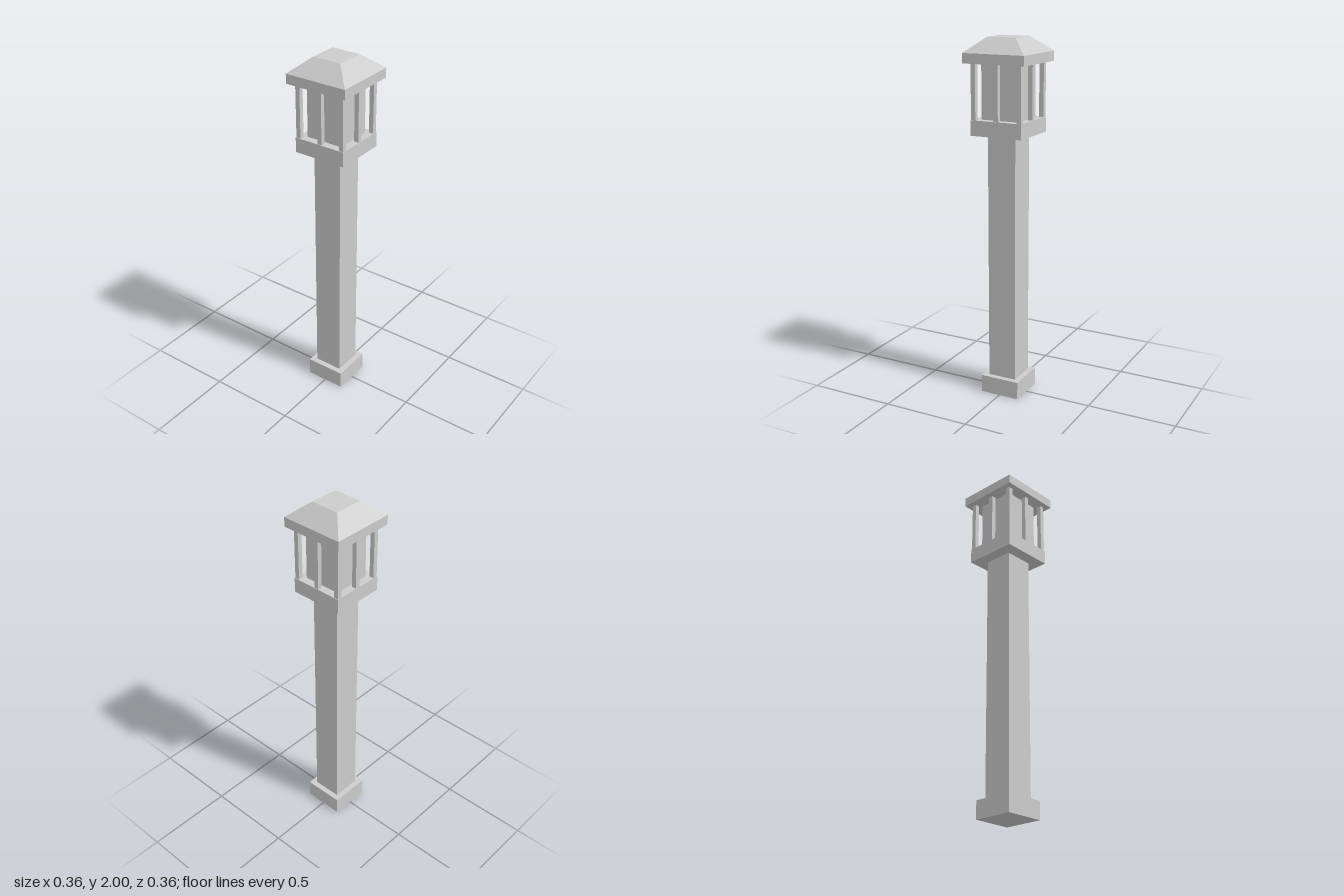
import * as THREE from 'three';

export function createModel() {
  const model = new THREE.Group();
  model.name = 'lampPost';
  const material = new THREE.MeshStandardMaterial({ color: 0xcccccc, flatShading: true });

  // Square block given its width and its bottom and top heights
  function block(name, width, y0, y1, x = 0, z = 0, parent = model) {
    const mesh = new THREE.Mesh(new THREE.BoxGeometry(width, y1 - y0, width), material);
    mesh.position.set(x, (y0 + y1) / 2, z);
    mesh.name = name;
    parent.add(mesh);
  }

  block('base', 0.228, 0, 0.1);
  block('post', 0.164, 0.1, 1.487);
  block('lanternTray', 0.3, 1.487, 1.57);
  block('lampCore', 0.212, 1.57, 1.867);

  // Eight bars around the lamp: corners and middles of each side
  const bars = new THREE.Group();
  bars.name = 'lanternBars';
  model.add(bars);
  for (const i of [-1, 0, 1]) {
    for (const j of [-1, 0, 1]) {
      if (i || j) block('lanternBar', 0.026, 1.57, 1.867, i * 0.134, j * 0.134, bars);
    }
  }

  // Roof: straight eave with a truncated pyramid on top
  block('roofEave', 0.358, 1.867, 1.92);
  const slope = new THREE.CylinderGeometry(0.082 * Math.SQRT2, 0.179 * Math.SQRT2, 0.08, 4);
  slope.rotateY(Math.PI / 4);
  const roof = new THREE.Mesh(slope, material);
  roof.position.y = 1.96;
  roof.name = 'roof';
  model.add(roof);

  return model;
}
